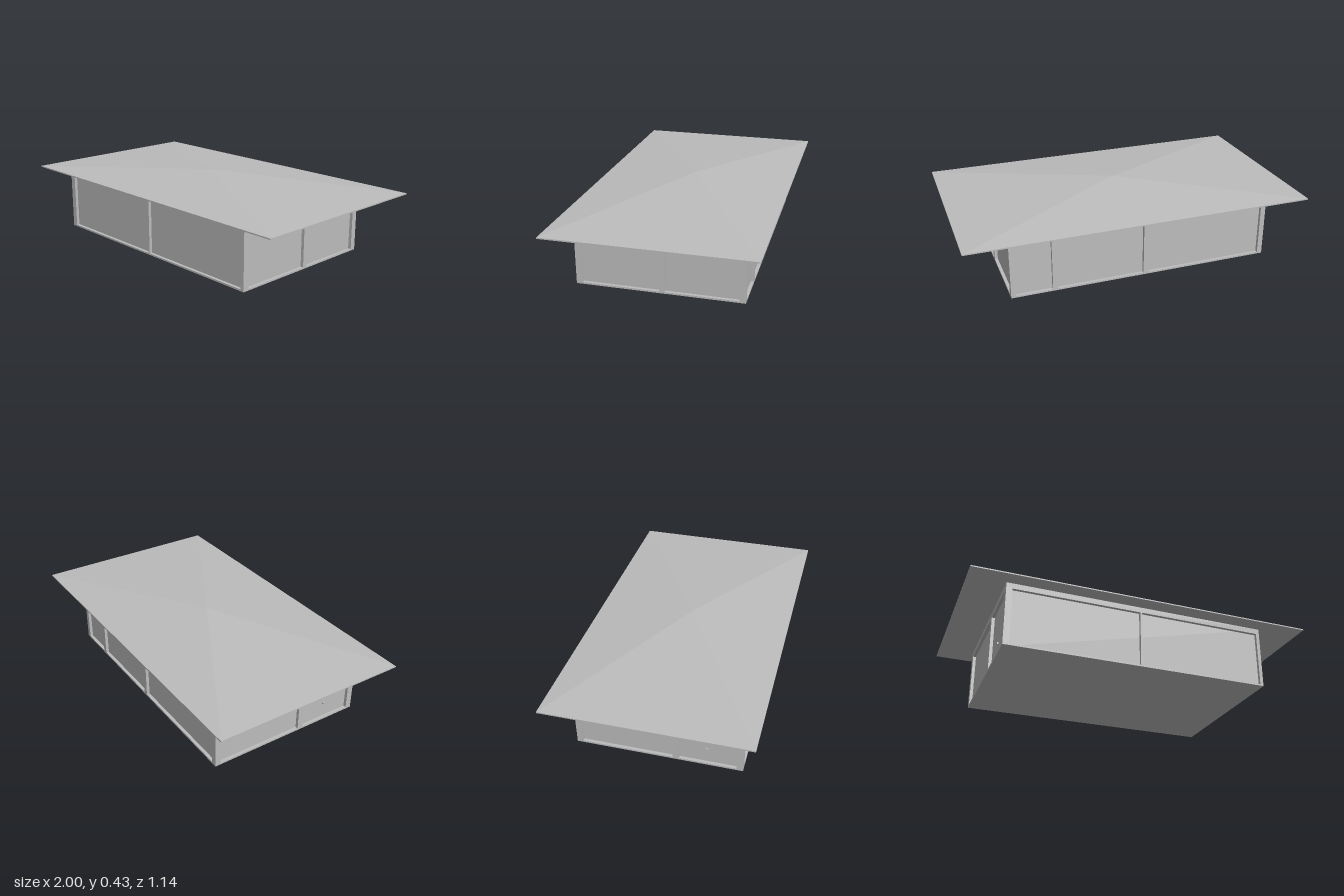
import * as THREE from 'three';

const X0 = -0.79, X1 = 0.745, Z0 = -0.46, Z1 = 0.48; // wall outline
const H = 0.367, EAVE = 0.374, PEAK = 0.433;
const D = 0.018; // panel recess

export function createModel() {
  const model = new THREE.Group();
  const grey = new THREE.MeshStandardMaterial({ color: 0xbcbcbc });
  grey.name = 'plain grey';

  function add(name, geometry, x = 0, y = 0, z = 0, turn = 0) {
    const mesh = new THREE.Mesh(geometry, grey);
    mesh.name = name;
    mesh.position.set(x, y, z);
    mesh.rotation.y = turn;
    model.add(mesh);
    return mesh;
  }

  function rect(path, a, b, y0, y1) {
    path.moveTo(a, y0).lineTo(b, y0).lineTo(b, y1).lineTo(a, y1).closePath();
    return path;
  }

  // Wall frame with recessed openings; sign maps the world axis to the wall's own
  function frame(name, a, b, openings, sign, x, z, turn) {
    const span = (p, q) => [sign * p, sign * q].sort((m, n) => m - n);
    const shape = new THREE.Shape();
    rect(shape, ...span(a, b), 0, H);
    for (const [p, q] of openings) {
      shape.holes.push(rect(new THREE.Path(), ...span(p, q), 0.01, 0.335));
    }
    const geometry = new THREE.ExtrudeGeometry(shape, { depth: D, bevelEnabled: false });
    add(name, geometry, x, 0, z, turn);
  }

  // Wall panels and floor
  add('wallPanels', new THREE.BoxGeometry(X1 - X0 - 2 * D, H, Z1 - Z0 - 2 * D),
    (X0 + X1) / 2, H / 2, (Z0 + Z1) / 2);

  // Frames on the four sides
  frame('frontFrame', X0, X1, [[-0.755, -0.02], [-0.01, 0.725]], 1, 0, Z1 - D, 0);
  frame('backFrame', X0, X1, [[-0.76, -0.055], [-0.025, 0.48], [0.51, 0.715]], -1, 0, Z0 + D, Math.PI);
  frame('leftFrame', Z0 + D, Z1 - D, [[-0.425, -0.02], [0.01, 0.445]], -1, X1 - D, 0, Math.PI / 2);
  frame('rightFrame', Z0 + D, Z1 - D, [[-0.425, 0.09], [0.125, 0.445]], 1, X0 + D, 0, -Math.PI / 2);

  // Small door handle
  add('doorHandle', new THREE.BoxGeometry(0.01, 0.012, 0.01), X0 + D - 0.004, 0.1, 0.28);

  // Thin eave slab under a shallow pyramid
  add('eaveSlab', new THREE.BoxGeometry(2, EAVE - H, 1.14), 0, (H + EAVE) / 2, 0);
  const roof = new THREE.ConeGeometry(Math.SQRT1_2, PEAK - EAVE, 4, 1, true)
    .rotateY(Math.PI / 4).scale(2, 1, 1.14).toNonIndexed();
  roof.computeVertexNormals();
  add('roof', roof, 0, (EAVE + PEAK) / 2, 0);

  return model;
}
